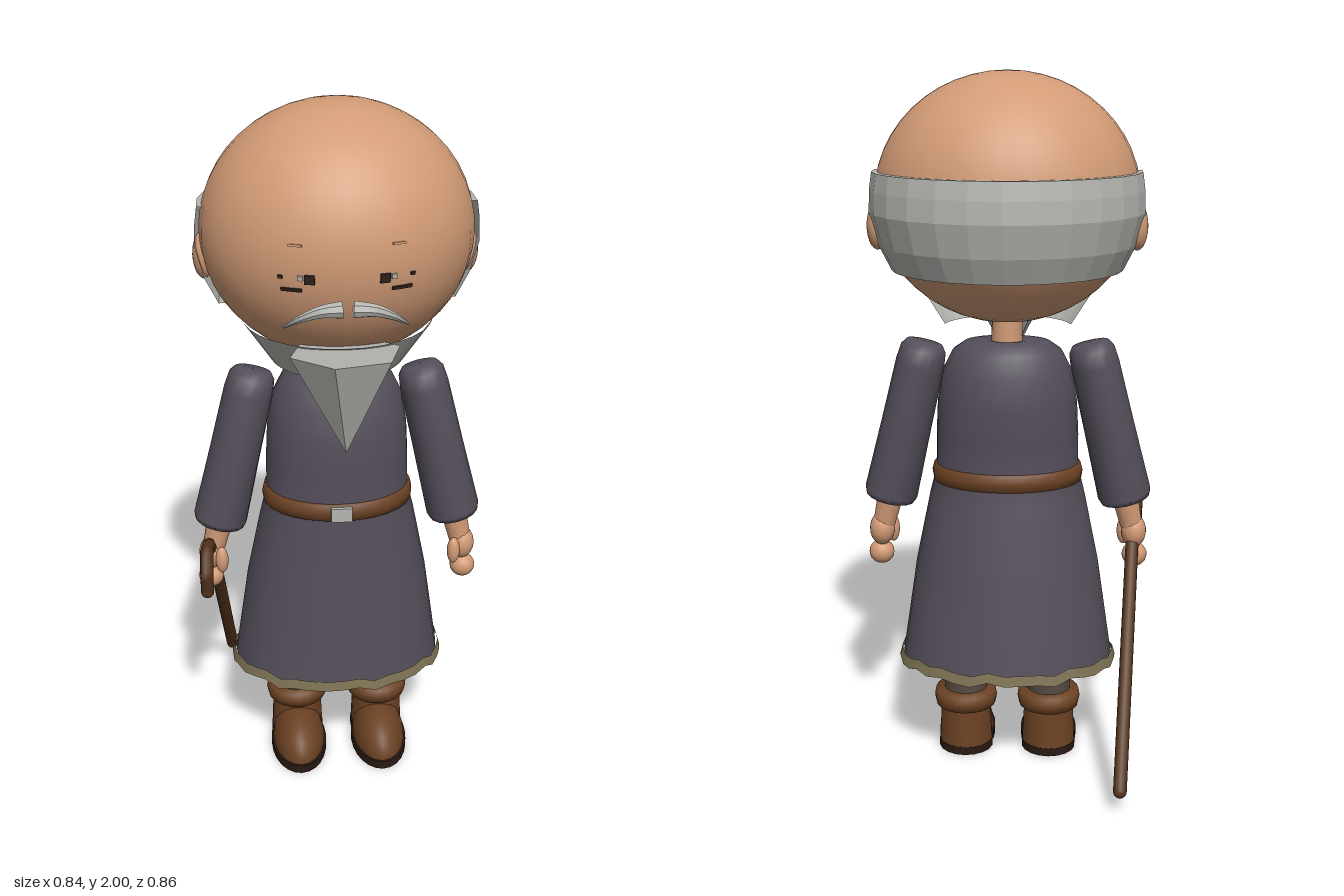
import * as THREE from 'three';

const mat = (name, color, side = THREE.FrontSide, flat = false) => {
  const m = new THREE.MeshStandardMaterial({ color, side, flatShading: flat });
  m.name = name;
  return m;
};

// Loft of ellipses, bottom to top; each ring is [y, rx, rz, cz = 0, cx = 0, wave = 0]
function loft(rings, n = 24) {
  const pos = [], idx = [];
  for (const [y, rx, rz, cz = 0, cx = 0, wave = 0] of rings) {
    for (let j = 0; j < n; j++) {
      const a = (j / n) * Math.PI * 2;
      const w = wave * (Math.sin(j * 2.4) + 0.6 * Math.sin(j * 1.3 + 1));
      pos.push(cx + Math.sin(a) * rx, y + w, cz + Math.cos(a) * rz);
    }
  }
  for (let i = 0; i < rings.length - 1; i++) {
    for (let j = 0; j < n; j++) {
      const k = (j + 1) % n, a = i * n, b = a + n;
      idx.push(a + j, a + k, b + k, a + j, b + k, b + j);
    }
  }
  const g = new THREE.BufferGeometry();
  g.setAttribute('position', new THREE.Float32BufferAttribute(pos, 3));
  g.setIndex(idx);
  g.computeVertexNormals();
  return g;
}

// Tube whose radius changes along its curve, tapering from r0 to r1
function taperedTube(points, r0, r1, seg, sides) {
  const curve = new THREE.CatmullRomCurve3(points.map(p => new THREE.Vector3(...p)));
  const g = new THREE.TubeGeometry(curve, seg, 1, sides);
  const p = g.attributes.position, v = new THREE.Vector3();
  for (let i = 0; i < p.count; i++) {
    const t = Math.floor(i / (sides + 1)) / seg, c = curve.getPointAt(t);
    v.fromBufferAttribute(p, i).sub(c).multiplyScalar(r0 + (r1 - r0) * t).add(c);
    p.setXYZ(i, v.x, v.y, v.z);
  }
  g.computeVertexNormals();
  return g;
}

export function createModel() {
  const root = new THREE.Group();
  const D = THREE.DoubleSide;
  const skin = mat('skin', 0xd29b76);
  const hair = mat('greyHair', 0xb6b6b1, D, true);
  const robe = mat('robeCloth', 0x544e5a, D);
  const trim = mat('hemTrim', 0x7e7354, D);
  const leather = mat('leather', 0x6c4224);
  const wood = mat('caneWood', 0x55341c);
  const trousers = mat('trousers', 0x564c40);
  const sole = mat('sole', 0x2a1a13);
  const eyeDark = mat('eyeDark', 0x2e221d, D);

  const add = (name, geo, material, pos = [0, 0, 0], scale = [1, 1, 1], parent = root) => {
    const m = new THREE.Mesh(geo, material);
    m.name = name;
    m.position.set(...pos);
    m.scale.set(...scale);
    parent.add(m);
    return m;
  };
  const ball = new THREE.SphereGeometry(1, 20, 14);

  // Head and neck
  const HC = [0, 1.655, -0.005], HR = [0.37, 0.345, 0.338];
  add('head', new THREE.SphereGeometry(1, 32, 24), skin, HC, HR);
  add('neck', new THREE.CylinderGeometry(0.042, 0.046, 0.16, 16), skin, [0, 1.27, -0.035]);

  // Band of hair round the back of the head, with closed top and bottom rims
  const bandPts = [[0.325, 1.46], [0.36, 1.53], [0.384, 1.62], [0.382, 1.68], [0.375, 1.73],
    [0.352, 1.73], [0.352, 1.6], [0.29, 1.46], [0.325, 1.46]].map(p => new THREE.Vector2(p[0], p[1]));
  add('hairBand', new THREE.LatheGeometry(bandPts, 14, Math.PI / 2 - 0.1, Math.PI + 0.2), hair,
    [0, 0, -0.005], [1, 1, 0.975]);

  // Jaw beard and hanging beard
  add('jawBeard', new THREE.CylinderGeometry(0.265, 0.185, 0.12, 14, 1, true, -1.36, 2.72), hair, [0, 1.352, 0]);
  const beard = add('beard', new THREE.CylinderGeometry(0.152, 0.001, 0.28, 6), hair, [0, 1.27, 0.288]);
  beard.rotation.set(-0.09, -Math.PI / 12, 0);

  // Face details on the head surface
  const onFace = (name, material, x, y, w, h) => {
    const nx = x / HR[0], ny = (y - HC[1]) / HR[1];
    const nz = Math.sqrt(1 - nx * nx - ny * ny);
    const m = add(name, new THREE.BoxGeometry(w, h, 0.006), material, [x, y, HC[2] + nz * HR[2] + 0.001]);
    m.lookAt(x + nx / HR[0], y + ny / HR[1], m.position.z + nz / HR[2]);
  };
  for (const s of [1, -1]) {
    onFace('eye', eyeDark, s * 0.095, 1.622, 0.026, 0.024);
    onFace('eyeWhite', hair, s * 0.118, 1.625, 0.014, 0.012);
    onFace('eyeLine', eyeDark, s * 0.14, 1.592, 0.055, 0.008);
    onFace('eyeCorner', eyeDark, s * 0.167, 1.625, 0.012, 0.008);
    onFace('eyebrow', skin, s * 0.13, 1.708, 0.035, 0.006);
    add('ear', ball, skin, [s * 0.36, 1.58, -0.032], [0.03, 0.066, 0.048]);
    add('moustache', taperedTube([[s * 0.014, 1.548, 0.338], [s * 0.065, 1.545, 0.34],
      [s * 0.115, 1.523, 0.325], [s * 0.16, 1.485, 0.285]], 0.023, 0.003, 10, 8), hair);
  }

  // Robe: torso and flared skirt
  add('robe', loft([[0.31, 0.31, 0.228, -0.02], [0.6, 0.267, 0.192, -0.014], [0.8, 0.226, 0.166, -0.004],
    [0.88, 0.206, 0.154], [0.98, 0.205, 0.157, -0.004], [1.08, 0.2, 0.16, -0.008], [1.17, 0.185, 0.147, -0.012],
    [1.23, 0.155, 0.118, -0.016], [1.255, 0.12, 0.09, -0.02], [1.262, 0.06, 0.05, -0.033],
    [1.255, 0.002, 0.002, -0.035]], 28), robe);
  add('hemTrim', loft([[0.298, 0.322, 0.236, -0.02, 0, 0.007], [0.328, 0.314, 0.231, -0.02, 0, 0.006]], 40), trim);

  // Belt and buckle
  add('belt', loft([[0.843, 0.2, 0.15], [0.846, 0.215, 0.163], [0.87, 0.219, 0.167],
    [0.894, 0.213, 0.163], [0.897, 0.198, 0.15]], 28), leather);
  add('buckle', new THREE.BoxGeometry(0.06, 0.042, 0.012), hair, [0, 0.87, 0.168]);

  for (const s of [1, -1]) {
    const side = s > 0 ? 'left' : 'right';

    // Sleeve, leaning outwards, with a hollow cuff
    const arm = new THREE.Group();
    arm.name = side + 'Arm';
    arm.position.set(s * 0.236, 1.245, -0.01);
    arm.rotation.set(-0.045, 0, s * 0.232);
    root.add(arm);
    add('sleeve', loft([[-0.43, 0.02, 0.02], [-0.45, 0.062, 0.066], [-0.475, 0.073, 0.078], [-0.46, 0.078, 0.082],
      [-0.25, 0.073, 0.08], [-0.06, 0.07, 0.078], [-0.015, 0.065, 0.06], [0.004, 0.052, 0.035],
      [0.006, 0.002, 0.002]], 16), robe, [0, 0, 0], [1, 1, 1], arm);
    add('wrist', new THREE.CylinderGeometry(0.042, 0.033, 0.14, 14), skin, [0, -0.49, 0], [1, 1, 1], arm);

    // Hand: palm, curled fingers and thumb
    add('palm', ball, skin, [s * 0.372, 0.68, 0.016], [0.037, 0.05, 0.042]);
    add('fingers', ball, skin, [s * 0.376, 0.605, 0.022], [0.037, 0.036, 0.036]);
    add('thumb', ball, skin, [s * 0.343, 0.67, 0.05], [0.019, 0.042, 0.019]);

    // Trouser leg
    const x = s * 0.125;
    add('trouserLeg', new THREE.CylinderGeometry(0.07, 0.064, 0.38, 18), trousers, [x, 0.34, -0.015]);

    // Boot: shaft, turned cuff, toe and sole
    add('bootShaft', new THREE.CylinderGeometry(0.074, 0.08, 0.14, 18), leather, [x, 0.085, -0.018]);
    add('bootCuff', loft([[0.138, 0.07, 0.07], [0.142, 0.089, 0.091], [0.165, 0.094, 0.096],
      [0.188, 0.09, 0.092], [0.192, 0.06, 0.06]], 20), leather, [x, 0, -0.019]);
    add('bootToe', new THREE.SphereGeometry(1, 20, 10, 0, Math.PI * 2, 0, Math.PI / 2), leather,
      [x, 0.022, 0.055], [0.08, 0.106, 0.152]);
    add('bootSole', new THREE.CylinderGeometry(1, 1, 0.026, 24), sole, [x, 0.013, 0.06], [0.085, 1, 0.153]);
    add('bootHeel', new THREE.CylinderGeometry(0.081, 0.081, 0.024, 18), sole, [x, 0.012, -0.018]);
  }

  // Walking cane with a hooked handle
  const cane = new THREE.CurvePath();
  const pts = [[-0.325, 0.065, -0.417], [-0.368, 0.655, 0], [-0.38, 0.735, 0.065], [-0.385, 0.74, 0.115],
    [-0.387, 0.69, 0.16], [-0.387, 0.625, 0.15]].map(p => new THREE.Vector3(...p));
  for (let i = 0; i < pts.length - 1; i++) cane.add(new THREE.LineCurve3(pts[i], pts[i + 1]));
  add('cane', new THREE.TubeGeometry(cane, 60, 0.019, 8), wood);
  for (const p of [pts[0], pts[pts.length - 1]]) add('caneEnd', ball, wood, p.toArray(), [0.019, 0.019, 0.019]);

  return root;
}
